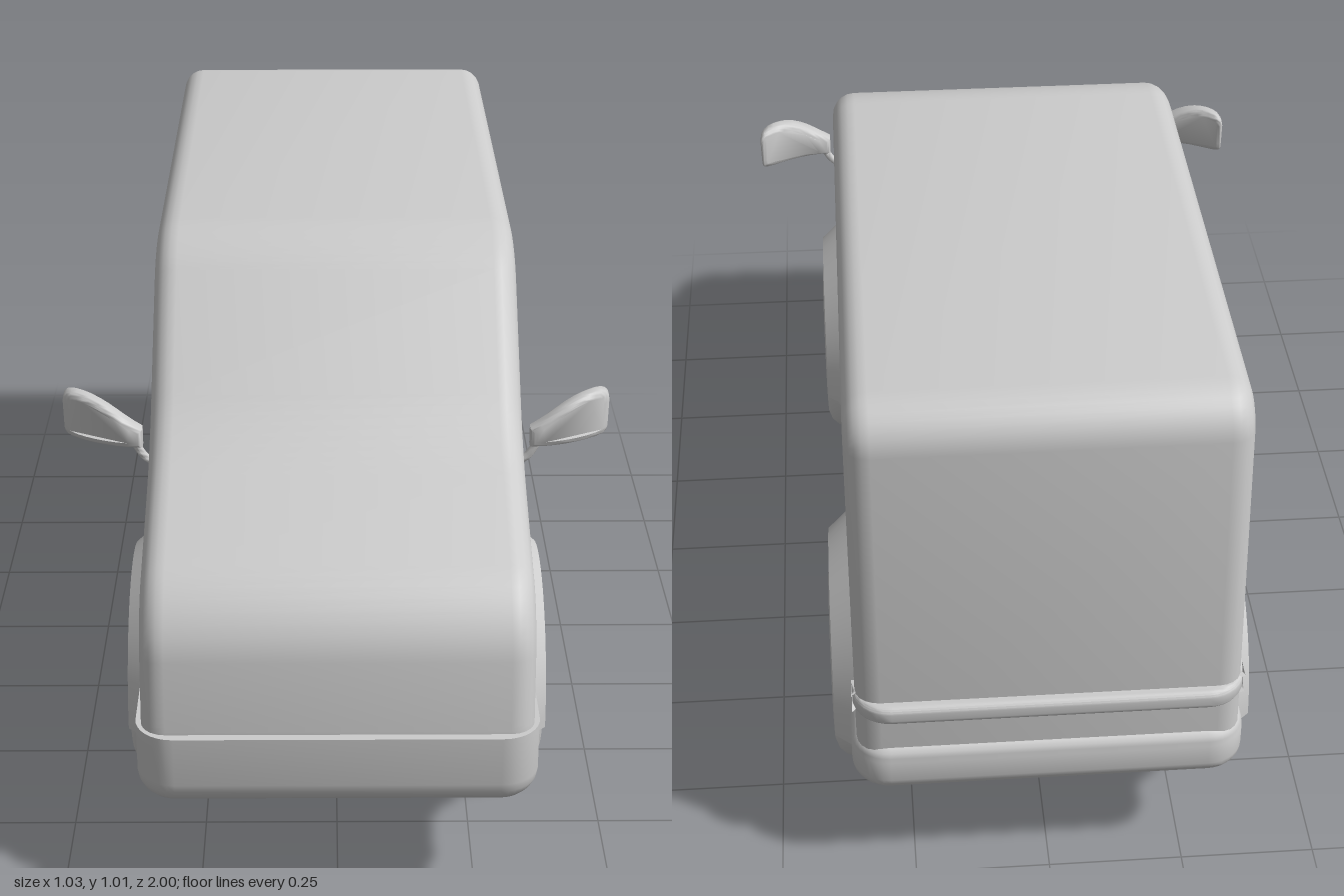
import * as THREE from 'three';
import { toCreasedNormals } from 'three/addons/utils/BufferGeometryUtils.js';

const material = new THREE.MeshStandardMaterial({ color: 0xcccccc, side: THREE.DoubleSide });

function part(name, geometry, parent, crease = 0.6) {
  const mesh = new THREE.Mesh(toCreasedNormals(geometry, crease), material);
  mesh.name = name;
  parent.add(mesh);
  return mesh;
}

// Closed outline from [x, y, trim] corners, each rounded off by its trim length
function roundedShape(corners) {
  const shape = new THREE.Shape();
  const n = corners.length;
  corners.forEach(([x, y, t], i) => {
    const p = new THREE.Vector2(x, y);
    const towards = (c, d) => new THREE.Vector2(c[0], c[1]).sub(p).setLength(d).add(p);
    const prev = corners[(i + n - 1) % n], next = corners[(i + 1) % n];
    const a = towards(prev, t), b = towards(next, t);
    const c1 = towards(prev, t * 0.45), c2 = towards(next, t * 0.45);
    if (i === 0) shape.moveTo(a.x, a.y);
    else shape.lineTo(a.x, a.y);
    shape.bezierCurveTo(c1.x, c1.y, c2.x, c2.y, b.x, b.y);
  });
  shape.closePath();
  return shape;
}

// Extrusion whose bevel stays inside the outline; it spans 0..depth
function softExtrude(shape, depth, bevel, curveSegments = 8) {
  return new THREE.ExtrudeGeometry(shape, {
    depth: depth - 2 * bevel, bevelThickness: bevel, bevelSize: bevel,
    bevelOffset: -bevel, bevelSegments: 5, curveSegments,
  }).translate(0, 0, bevel);
}

function moveVertices(geometry, rule) {
  const pos = geometry.attributes.position;
  const v = new THREE.Vector3();
  for (let i = 0; i < pos.count; i++) {
    rule(v.fromBufferAttribute(pos, i));
    pos.setXYZ(i, v.x, v.y, v.z);
  }
  return geometry;
}

// Horizontal band with rounded plan corners at its outer end z1
function band(halfWidth, z0, z1, y0, y1, bevel, flatTop) {
  const plan = roundedShape([
    [-halfWidth, -z0, 0.01], [halfWidth, -z0, 0.01],
    [halfWidth, -z1, 0.07], [-halfWidth, -z1, 0.07],
  ]);
  const height = y1 - y0 + (flatTop ? bevel : 0);
  const geometry = softExtrude(plan, height, bevel).rotateX(-Math.PI / 2).translate(0, y0, 0);
  return moveVertices(geometry, (v) => { v.y = Math.min(v.y, y1); });
}

// Half-ring wheel arch, its outer rim sloping back to the body side
function archGeometry() {
  const outer = 0.28, inner = 0.225, rim = 0.24;
  const shape = new THREE.Shape();
  shape.absarc(0, 0, outer, 0, Math.PI, false);
  shape.absarc(0, 0, inner, Math.PI, 0, true);
  shape.closePath();
  const geometry = new THREE.ExtrudeGeometry(shape, { depth: 0.045, bevelEnabled: false, curveSegments: 16 });
  moveVertices(geometry, (v) => {
    if (v.z > 0.04 && Math.hypot(v.x, v.y) > 0.26) {
      v.x *= rim / outer;
      v.y *= rim / outer;
    }
  });
  return geometry.rotateY(Math.PI / 2).translate(0.346, 0, 0);
}

// Tyre and hub in one turned profile, axle along x
function wheelGeometry() {
  const half = [[0, 0.078], [0.022, 0.077], [0.038, 0.071], [0.05, 0.074], [0.065, 0.08], [0.09, 0.081],
    [0.15, 0.086], [0.17, 0.085], [0.19, 0.077], [0.203, 0.062], [0.209, 0.04]];
  const profile = [
    ...half.map(([r, h]) => new THREE.Vector2(r, -h)),
    ...half.slice().reverse().map(([r, h]) => new THREE.Vector2(r, h)),
  ];
  return new THREE.LatheGeometry(profile, 48).rotateZ(-Math.PI / 2);
}

function addMirror(parent) {
  const shape = new THREE.Shape();
  shape.moveTo(0.362, 0.697);
  for (let x = 0.39; x < 0.49; x += 0.02) shape.lineTo(x, 0.697);
  shape.bezierCurveTo(0.51, 0.698, 0.514, 0.698, 0.514, 0.72);
  shape.lineTo(0.515, 0.765);
  shape.bezierCurveTo(0.515, 0.793, 0.485, 0.793, 0.46, 0.788);
  shape.bezierCurveTo(0.42, 0.778, 0.4, 0.755, 0.362, 0.733);
  shape.closePath();
  const head = softExtrude(shape, 0.04, 0.012, 6).translate(0, 0, 0.515);
  moveVertices(head, (v) => { v.z -= 2.7 * Math.max(0, v.x - 0.36) ** 2; });
  part('mirrorHead', head, parent, 0.9);

  const path = new THREE.CatmullRomCurve3([
    new THREE.Vector3(0.335, 0.66, 0.535),
    new THREE.Vector3(0.358, 0.674, 0.536),
    new THREE.Vector3(0.378, 0.705, 0.535),
  ]);
  part('mirrorStalk', new THREE.TubeGeometry(path, 8, 0.008, 8), parent, 1);
}

export function createModel() {
  const van = new THREE.Group();
  van.name = 'van';

  // Body: side profile (z, y) extruded across the width
  const profile = roundedShape([
    [0.98, 0.213, 0.06], [0.985, 0.34, 0.02], [0.948, 0.577, 0.1], [0.56, 0.72, 0.09],
    [0.24, 1.012, 0.08], [-0.95, 1.012, 0.08], [-0.988, 0.213, 0.06],
  ]);
  part('body', softExtrude(profile, 0.7, 0.045).rotateY(-Math.PI / 2).translate(0.35, 0, 0), van);

  // Bumpers and the rear trim strip
  part('frontBumper', band(0.36, 0.75, 1.0, 0.2, 0.345, 0.05, true), van);
  part('rearBumper', band(0.36, -0.84, -0.998, 0.208, 0.31, 0.03, false).rotateY(0), van);
  part('rearStrip', band(0.355, -0.93, -1.0, 0.372, 0.41, 0.012, false), van);

  // Wheels, arches and mirrors on both sides
  for (const side of [1, -1]) {
    const sideName = side > 0 ? 'left' : 'right';
    for (const [end, z] of [['Front', 0.505], ['Rear', -0.6]]) {
      const wheel = part(`${sideName}${end}Wheel`, wheelGeometry(), van, 0.8);
      wheel.position.set(side * 0.309, 0.209, z);
      const arch = part(`${sideName}${end}Arch`, archGeometry(), van, 0.5);
      arch.position.set(0, 0.208, z);
      arch.scale.x = side;
    }
    const mirror = new THREE.Group();
    mirror.name = `${sideName}Mirror`;
    mirror.scale.x = side;
    addMirror(mirror);
    van.add(mirror);
  }
  return van;
}
